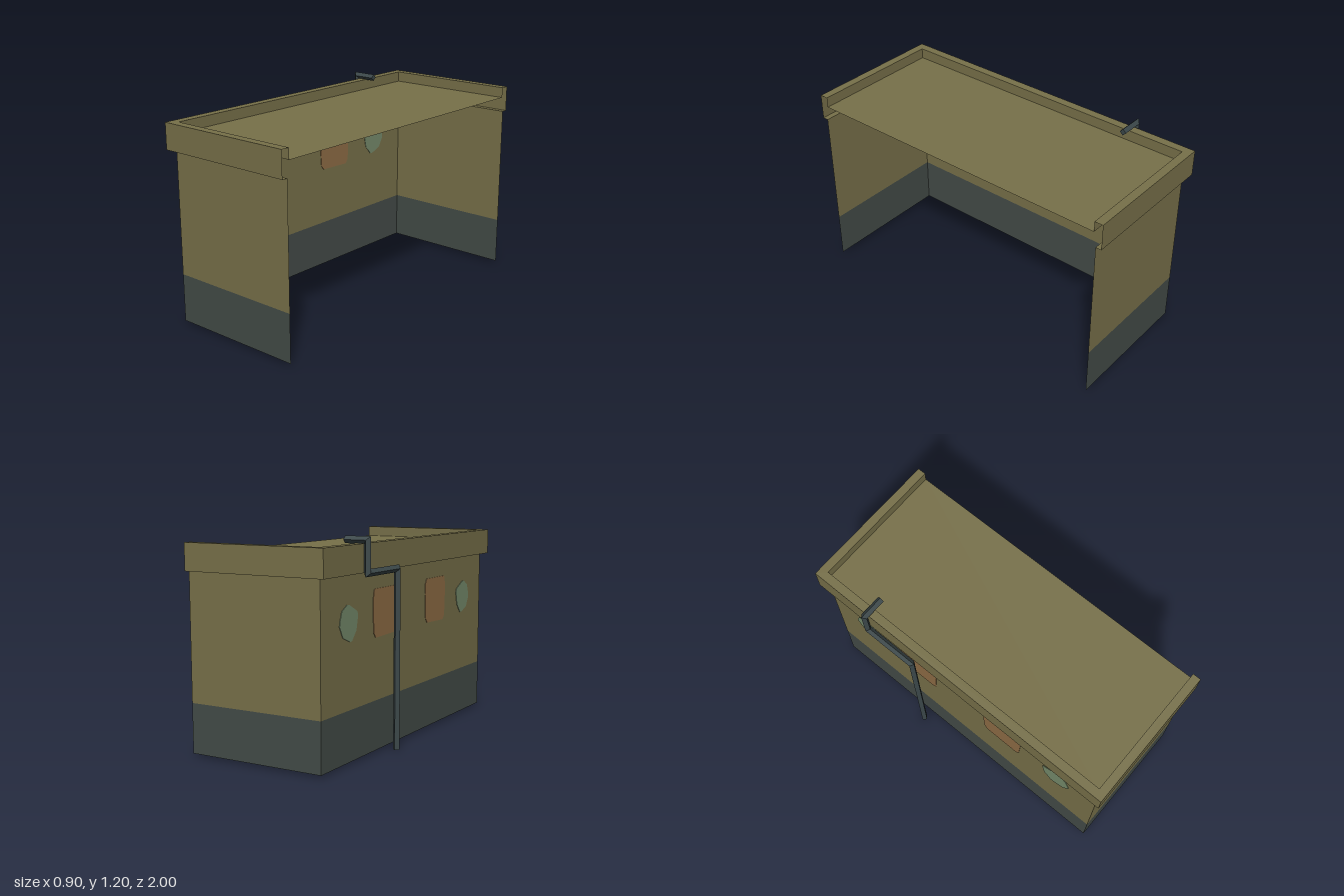
import * as THREE from 'three';

const mat = (name, color, side = THREE.FrontSide) => {
  const m = new THREE.MeshStandardMaterial({ color, side });
  m.name = name;
  return m;
};

function flatGeometry(positions) {
  const g = new THREE.BufferGeometry();
  g.setAttribute('position', new THREE.Float32BufferAttribute(positions, 3));
  g.computeVertexNormals();
  return g;
}

const OPEN_X = 0.45; // the open long side

// U-shaped band around three sides, between two profile points [x, z, y]
function uBand(lower, upper) {
  const path = ([x, z, y]) => [[OPEN_X, y, z], [x, y, z], [x, y, -z], [OPEN_X, y, -z]];
  const lo = path(lower), up = path(upper), pos = [];
  for (let i = 0; i < 3; i++) {
    pos.push(...lo[i], ...up[i], ...lo[i + 1], ...up[i], ...up[i + 1], ...lo[i + 1]);
  }
  return flatGeometry(pos);
}

// Four-sided mitred pipe along an axis-aligned path
function mitredPipe(path, r) {
  const dirs = path.slice(1).map((p, i) => p.clone().sub(path[i]).normalize());
  let offsets = [[0, 1, 0], [0, 0, -1], [0, -1, 0], [0, 0, 1]].map(a => new THREE.Vector3(...a));
  const rings = path.map((p, i) => {
    const corner = i > 0 && i < path.length - 1;
    const ring = offsets.map(e => {
      const o = e.clone();
      if (corner) o.addScaledVector(dirs[i - 1], -e.dot(dirs[i]));
      return p.clone().addScaledVector(o, r);
    });
    if (corner) {
      offsets = offsets.map(e => {
        const s = Math.round(e.dot(dirs[i]));
        return s === 0 ? e : dirs[i - 1].clone().multiplyScalar(-s);
      });
    }
    return ring;
  });
  const pos = [];
  const tri = (...vs) => vs.forEach(v => pos.push(v.x, v.y, v.z));
  for (let i = 0; i < rings.length - 1; i++) {
    for (let j = 0; j < 4; j++) {
      const k = (j + 1) % 4, a = rings[i], b = rings[i + 1];
      tri(a[j], a[k], b[k]);
      tri(a[j], b[k], b[j]);
    }
  }
  const s = rings[0], e = rings[rings.length - 1];
  tri(s[0], s[2], s[1]); tri(s[0], s[3], s[2]);
  tri(e[0], e[1], e[2]); tri(e[0], e[2], e[3]);
  return flatGeometry(pos);
}

export function createModel() {
  const model = new THREE.Group();
  model.name = 'openShelter';

  const olive = mat('olive', 0x777049, THREE.DoubleSide);
  const slate = mat('slate', 0x434b47, THREE.DoubleSide);
  const orange = mat('faded orange', 0x8e6c45);
  const green = mat('pale green', 0x758a6b);
  const pipeColor = mat('dark pipe', 0x3a4648);

  const add = (name, geometry, material) => {
    const mesh = new THREE.Mesh(geometry, material);
    mesh.name = name;
    model.add(mesh);
    return mesh;
  };

  // Thin shell: walls, then the overhanging hollow parapet
  const profile = [
    [-0.371, 0.965, 0.015], [-0.371, 0.965, 0.295], [-0.371, 0.965, 1.01],
    [-0.412, 1, 1.01], [-0.412, 1, 1.162], [-0.361, 0.95, 1.162], [-0.361, 0.95, 1.1],
  ];
  ['wallBase', 'walls', 'soffit', 'fascia', 'parapetTop', 'parapetInside'].forEach((name, i) => {
    add(name, uBand(profile[i], profile[i + 1]), i === 0 ? slate : olive);
  });

  // Roof sheet
  const roof = new THREE.PlaneGeometry(OPEN_X + 0.361, 1.9);
  roof.rotateX(-Math.PI / 2);
  roof.translate((OPEN_X - 0.361) / 2, 1.1, 0);
  add('roof', roof, olive);

  // Painted patches on both faces of the long wall, as [z, y] outlines
  const orangeOutline = [[0.425, 0.908], [0.195, 0.908], [0.18, 0.885], [0.175, 0.82], [0.185, 0.67],
    [0.205, 0.647], [0.415, 0.642], [0.435, 0.67], [0.442, 0.81], [0.437, 0.89]];
  const greenOutline = [[0.715, 0.852], [0.69, 0.85], [0.61, 0.81], [0.602, 0.79], [0.62, 0.71],
    [0.665, 0.658], [0.685, 0.657], [0.755, 0.685], [0.788, 0.745], [0.785, 0.77], [0.765, 0.825]];
  for (const side of [1, -1]) {
    for (const [name, outline, material] of [['orangePatch', orangeOutline, orange], ['greenPatch', greenOutline, green]]) {
      const shape = new THREE.Shape(outline.map(([z, y]) => new THREE.Vector2(z * side, y)));
      const g = new THREE.ExtrudeGeometry(shape, { depth: 0.006, bevelEnabled: false });
      g.rotateY(-Math.PI / 2);
      g.translate(-0.368, 0, 0);
      add(name, g, material);
    }
  }

  // Bent drainpipe behind the long wall
  const pipePath = [[-0.3, 1.18, -0.61], [-0.434, 1.18, -0.61], [-0.434, 1.01, -0.61],
    [-0.434, 1.01, -0.285], [-0.434, 0, -0.285]].map(p => new THREE.Vector3(...p));
  add('drainpipe', mitredPipe(pipePath, 0.02), pipeColor);

  return model;
}
